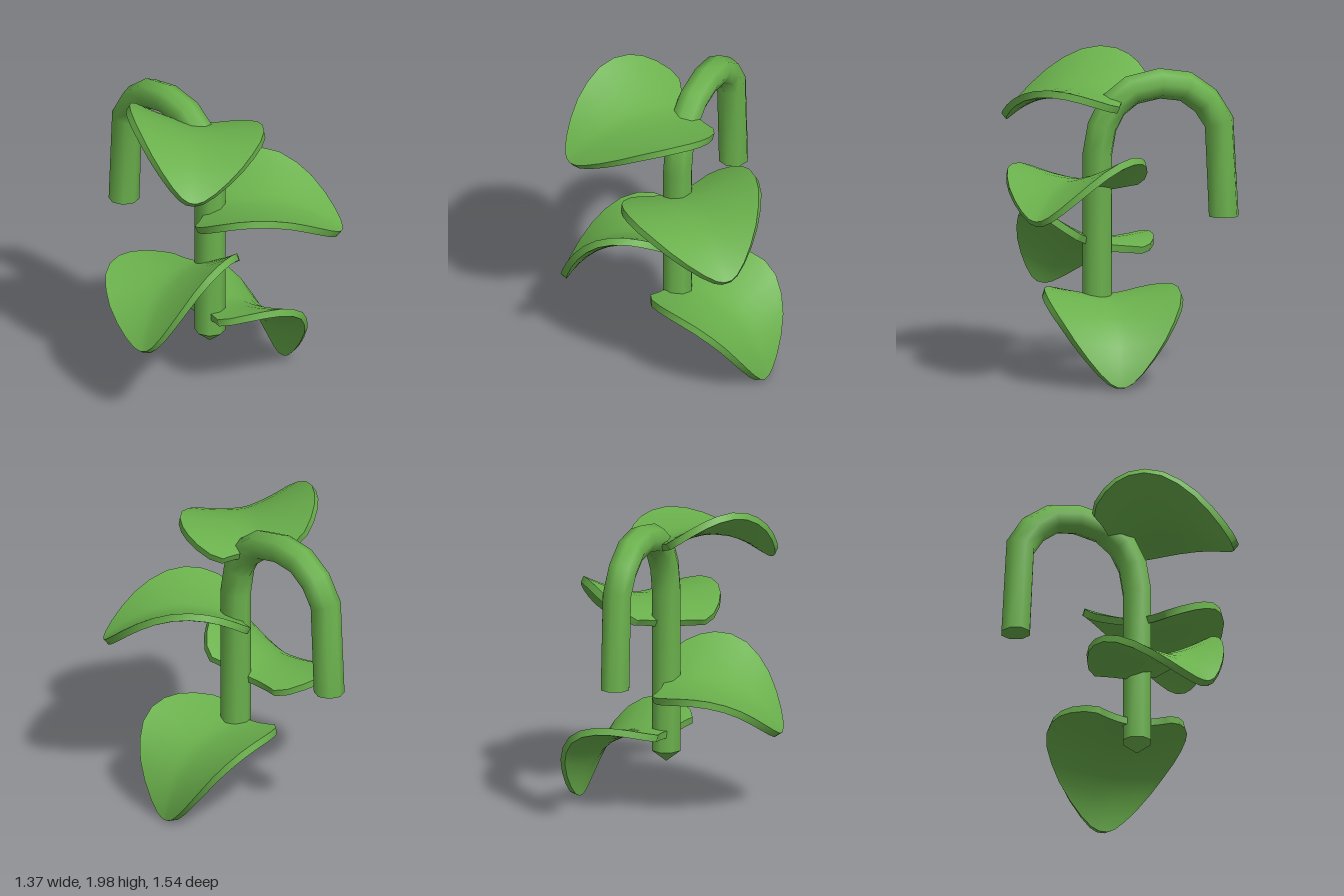
import * as THREE from 'three';

const green = new THREE.MeshStandardMaterial({ color: 0x6ab04c });
green.name = 'leaf green';

function indexed(positions, indices) {
  const g = new THREE.BufferGeometry();
  g.setAttribute('position', new THREE.Float32BufferAttribute(positions, 3));
  g.setIndex(indices);
  g.computeVertexNormals();
  return g;
}

function part(geometry, name) {
  const mesh = new THREE.Mesh(geometry, green);
  mesh.name = name;
  return mesh;
}

// Hooked stem: eight-sided rings swept along a path in the y-z plane
const STEM_X = 0.035, STEM_R = 0.095, SIDES = 8;
const STEM_PATH = [ // [y, z]
  [0.38, 0.13], [1.4, 0.13], [1.57, 0.1], [1.7, 0.03], [1.79, -0.09], [1.825, -0.27],
  [1.8, -0.435], [1.705, -0.565], [1.57, -0.65], [0.98, -0.68],
];

function makeStem() {
  const stem = new THREE.Group();
  stem.name = 'stem';
  const pos = [], idx = [];
  const dir = (a, b) => new THREE.Vector2(b[0] - a[0], b[1] - a[1]).normalize();
  const last = STEM_PATH.length - 1;
  STEM_PATH.forEach((p, i) => {
    const t = dir(STEM_PATH[Math.max(i - 1, 0)], STEM_PATH[Math.max(i, 1)]);
    if (i < last) t.add(dir(p, STEM_PATH[i + 1])).normalize();
    else t.set(-1, 0); // the cut end is level
    for (let j = 0; j < SIDES; j++) {
      const a = j / SIDES * Math.PI * 2;
      const s = Math.sin(a) * STEM_R;
      pos.push(STEM_X + Math.cos(a) * STEM_R, p[0] + s * t.y, p[1] - s * t.x);
    }
  });
  for (let i = 0; i < last; i++) {
    for (let j = 0; j < SIDES; j++) {
      const a = i * SIDES + j, b = i * SIDES + (j + 1) % SIDES;
      idx.push(a, b, b + SIDES, a, b + SIDES, a + SIDES);
    }
  }
  stem.add(part(indexed(pos, idx), 'stemTube'));

  // Pointed growing tip and flat cut end
  const tip = part(new THREE.ConeGeometry(STEM_R, 0.075, SIDES), 'stemTip');
  tip.rotation.x = Math.PI;
  tip.position.set(STEM_X, 0.3425, 0.13);
  const end = part(new THREE.CircleGeometry(STEM_R, SIDES), 'stemEnd');
  end.rotation.x = Math.PI / 2;
  end.position.set(STEM_X, 0.98, -0.68);
  stem.add(tip, end);
  return stem;
}

// Heart-shaped blade: rows of [distance from base, half width, notch depth]
const LEAF_LENGTH = 0.79, THICKNESS = 0.045, COLS = 16;
const LEAF_ROWS = [
  [-0.085, 0.23, 0.05], [-0.06, 0.3, 0.05], [0, 0.36, 0.045], [0.07, 0.4, 0.02],
  [0.15, 0.42, 0], [0.25, 0.42, 0], [0.36, 0.395, 0], [0.47, 0.345, 0], [0.57, 0.285, 0],
  [0.66, 0.21, 0], [0.73, 0.135, 0], [0.775, 0.07, 0], [0.79, 0.025, 0],
];

function makeLeafGeometries(arch) {
  const top = [], up = [], down = [];
  const n = COLS + 1, last = LEAF_ROWS.length - 1;
  for (const [u0, half, notch] of LEAF_ROWS) {
    for (let j = 0; j <= COLS; j++) {
      const s = j / COLS * 2 - 1, v = s * half;
      const u = u0 + notch * (1 - s * s), t = u / LEAF_LENGTH;
      // arched along the midrib, folded upward to both sides
      const h = arch * t * (1 - t) + 0.43 * Math.abs(v) ** 1.5;
      top.push(u, h, v);
    }
  }
  for (let i = 0; i < last; i++) {
    for (let j = 0; j < COLS; j++) {
      const a = i * n + j, b = a + 1, c = b + n, d = a + n;
      up.push(a, b, c, a, c, d);
      down.push(a, c, b, a, d, c);
    }
  }
  const upper = indexed(top, up);
  const normals = upper.attributes.normal.array;
  const bottom = top.map((p, i) => p - normals[i] * THICKNESS);

  // Rim wall around the outline
  const loop = [];
  for (let j = 0; j < COLS; j++) loop.push(j);
  for (let i = 0; i < last; i++) loop.push(i * n + COLS);
  for (let j = COLS; j > 0; j--) loop.push(last * n + j);
  for (let i = last; i > 0; i--) loop.push(i * n);
  const rim = [], rimIdx = [];
  loop.forEach((k, i) => {
    rim.push(...bottom.slice(k * 3, k * 3 + 3), ...top.slice(k * 3, k * 3 + 3));
    const a = i * 2, b = ((i + 1) % loop.length) * 2;
    rimIdx.push(a, b, b + 1, a, b + 1, a + 1);
  });
  return { upper, underside: indexed(bottom, down), rim: indexed(rim, rimIdx) };
}

// Leaf base, leaf tip, roll about the midrib and arch of the blade
const LEAVES = [
  { name: 'topLeaf', base: [0.005, 1.755, -0.03], tip: [-0.5, 1.6, 0.58], roll: -0.2, arch: 0.46 },
  { name: 'upperLeaf', base: [0.04, 1.225, 0.13], tip: [0.64, 1.09, 0.68], roll: 0.11, arch: 0.48 },
  { name: 'lowerLeaf', base: [-0.02, 0.84, 0.07], tip: [-0.67, 0.53, 0.31], roll: 0.28, arch: 0.53 },
  { name: 'bottomLeaf', base: [0.04, 0.52, 0.09], tip: [0.65, 0.03, 0.14], roll: 0, arch: 0.66 },
];

export function createModel() {
  const model = new THREE.Group();
  model.name = 'hangingVine';
  model.add(makeStem());
  for (const { name, base, tip, roll, arch } of LEAVES) {
    const leaf = new THREE.Group();
    leaf.name = name;
    const shapes = makeLeafGeometries(arch);
    for (const key in shapes) leaf.add(part(shapes[key], name + '_' + key));
    const from = new THREE.Vector3(...base);
    const along = new THREE.Vector3(...tip).sub(from);
    leaf.scale.x = along.length() / LEAF_LENGTH;
    along.normalize();
    const side = new THREE.Vector3().crossVectors(along, new THREE.Vector3(0, 1, 0)).normalize();
    const up = new THREE.Vector3().crossVectors(side, along);
    leaf.quaternion.setFromRotationMatrix(new THREE.Matrix4().makeBasis(along, up, side));
    leaf.rotateX(roll);
    leaf.position.copy(from);
    model.add(leaf);
  }
  return model;
}
